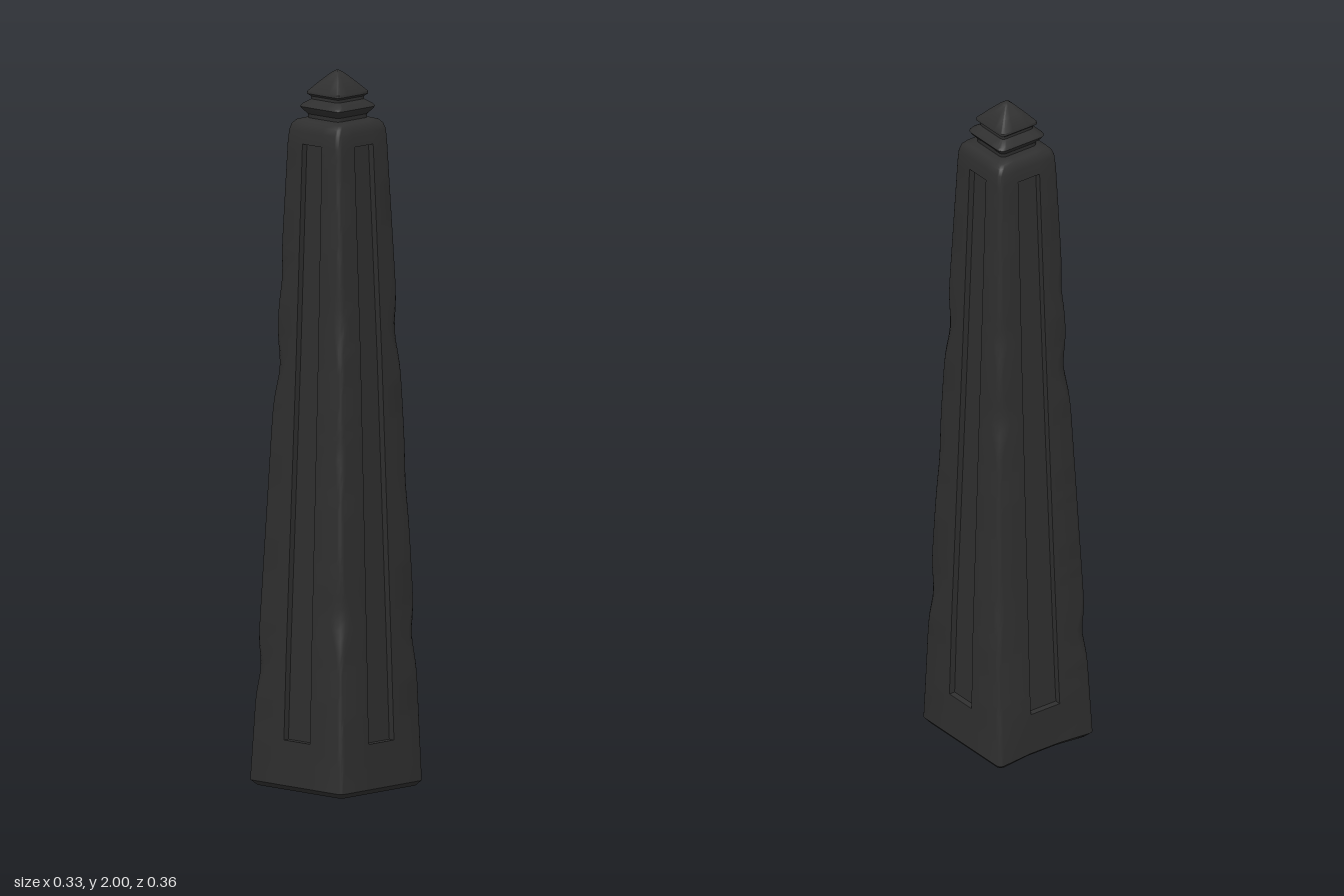
import * as THREE from 'three';
import { toCreasedNormals } from 'three/addons/utils/BufferGeometryUtils.js';

const stone = new THREE.MeshStandardMaterial({ color: 0x2f2f2f });
stone.name = 'darkStone';

const lerp = THREE.MathUtils.lerp;

// Skin a stack of equal-length rings (counter-clockwise from above) and close both ends
function loft(rings) {
  const centre = (ring) => {
    const c = new THREE.Vector3();
    ring.forEach((p) => c.add(p));
    return ring.map(() => c.clone().divideScalar(ring.length));
  };
  const stack = [centre(rings[0]), ...rings, centre(rings[rings.length - 1])];
  const pos = [];
  const tri = new THREE.Triangle();
  const add = (a, b, c) => {
    if (tri.set(a, b, c).getArea() > 1e-9) pos.push(...a, ...b, ...c);
  };
  for (let j = 0; j < stack.length - 1; j++) {
    const lo = stack[j], hi = stack[j + 1];
    for (let i = 0; i < lo.length; i++) {
      const n = (i + 1) % lo.length;
      add(lo[i], lo[n], hi[n]);
      add(lo[i], hi[n], hi[i]);
    }
  }
  const geo = new THREE.BufferGeometry();
  geo.setAttribute('position', new THREE.Float32BufferAttribute(pos, 3));
  return toCreasedNormals(geo, 0.6);
}

// Rounded rectangle; each side carries a groove of half width p and depth d
function section({ y, x0, x1, z0, z1, radii, p = 0.01, d = 0, dip = 0 }) {
  const cx = (x0 + x1) / 2, cz = 0.005;
  const corners = [[x1, z1, -1, -1], [x1, z0, -1, 1], [x0, z0, 1, 1], [x0, z1, 1, -1]];
  const sides = [
    (u, v) => [cx + u, z1 - v],
    (u, v) => [x1 - v, cz - u],
    (u, v) => [cx - u, z0 + v + dip],
    (u, v) => [x0 + v, cz + u],
  ];
  const pts = [];
  for (let k = 0; k < 4; k++) {
    for (const [u, v] of [[-p, 0], [-p, d], [p, d], [p, 0]]) {
      const [x, z] = sides[k](u, v);
      pts.push(new THREE.Vector3(x, y, z));
    }
    const [x, z, sx, sz] = corners[k], r = radii[k];
    for (let s = 0; s <= 4; s++) {
      const a = Math.PI / 2 * (1 - s / 4) - k * Math.PI / 2;
      pts.push(new THREE.Vector3(x + sx * r + r * Math.cos(a), y, z + sz * r + r * Math.sin(a)));
    }
  }
  return pts;
}

// Worn places on each corner: [height, extra radius, half length]
const chips = [
  [[0.42, 0.022, 0.09], [1.27, 0.024, 0.1], [0.85, 0.008, 0.12]],
  [[1.07, 0.026, 0.09], [1.32, 0.016, 0.08], [0.5, 0.008, 0.12]],
  [[1.17, 0.03, 0.1], [0.33, 0.024, 0.08], [1.42, 0.012, 0.08]],
  [[0.5, 0.026, 0.1], [1.32, 0.014, 0.12], [0.95, 0.008, 0.1]],
];
const cornerRadius = (k, y) => chips[k].reduce(
  (r, [h, size, len]) => r + size * Math.exp(-(((y - h) / len) ** 2) * 2), 0.014);

// Shaft outline: [height, -x, +x, -z, +z]
const outline = [
  [0, 0.152, 0.152, 0.164, 0.166],
  [0.014, 0.165, 0.163, 0.178, 0.178],
  [0.2, 0.159, 0.158, 0.167, 0.171],
  [0.4, 0.153, 0.153, 0.158, 0.164],
  [1.2, 0.121, 0.122, 0.122, 0.134],
  [1.8, 0.101, 0.1, 0.096, 0.106],
  [1.835, 0.098, 0.098, 0.093, 0.103],
  [1.852, 0.093, 0.093, 0.088, 0.098],
  [1.862, 0.084, 0.084, 0.079, 0.089],
  [1.867, 0.066, 0.066, 0.061, 0.071],
];
function shaftRing(y, d) {
  let i = 0;
  while (i < outline.length - 2 && outline[i + 1][0] < y) i++;
  const a = outline[i], b = outline[i + 1];
  const t = (y - a[0]) / (b[0] - a[0]);
  const [x0, x1, z0, z1] = [1, 2, 3, 4].map((n) => lerp(a[n], b[n], t));
  return section({
    y, x0: -x0, x1, z0: -z0, z1, d,
    p: lerp(0.05, 0.037, THREE.MathUtils.clamp((y - 0.14) / 1.66, 0, 1)),
    dip: 0.011 * Math.max(0, 1 - y / 0.14),
    radii: [0, 1, 2, 3].map((k) => cornerRadius(k, y)),
  });
}

export function createModel() {
  const group = new THREE.Group();
  group.name = 'obelisk';

  // Tapered shaft with a long sunken panel on every side
  const rings = [0, 0.005, 0.014, 0.08, 0.14].map((y) => shaftRing(y, 0));
  const steps = 56;
  for (let i = 0; i <= steps; i++) rings.push(shaftRing(lerp(0.14, 1.8, i / steps), 0.018));
  [1.8, 1.835, 1.852, 1.862, 1.867].forEach((y) => rings.push(shaftRing(y, 0)));
  const shaft = new THREE.Mesh(loft(rings), stone);
  shaft.name = 'shaft';
  group.add(shaft);

  // Stepped finial with a small pyramid: [height, half width, corner radius]
  const tiers = [
    [1.86, 0.06, 0.012], [1.878, 0.062, 0.014], [1.891, 0.074, 0.018], [1.899, 0.079, 0.02],
    [1.906, 0.074, 0.018], [1.919, 0.054, 0.01], [1.927, 0.054, 0.008], [1.934, 0.062, 0.008],
    [1.941, 0.061, 0.007], [1.97, 0.035, 0.004], [1.992, 0.014, 0.003], [1.998, 0.006, 0.002],
    [2, 0.002, 0.001],
  ];
  const finial = new THREE.Mesh(loft(tiers.map(([y, h, r]) => section({
    y, x0: -h, x1: h, z0: 0.005 - h, z1: 0.005 + h, p: h * 0.4, radii: [r, r, r, r],
  }))), stone);
  finial.name = 'finial';
  group.add(finial);

  return group;
}
